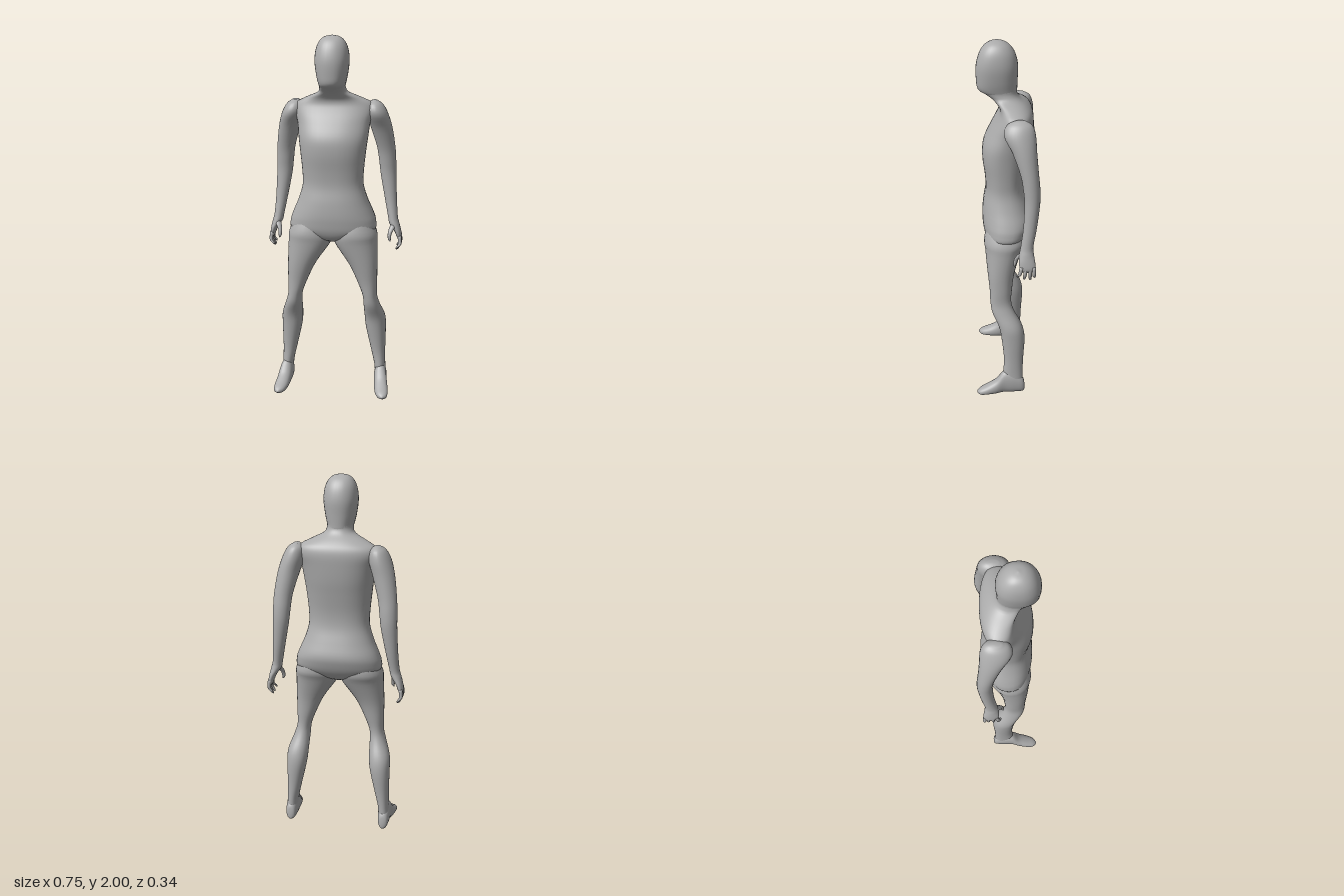
import * as THREE from 'three';

const skin = new THREE.MeshStandardMaterial({ color: 0xacacac });
skin.name = 'plain grey';

// Smooth closed skin through cross-sections [level, minX, maxX, front, back].
// axis 'y': level is y, front/back are z limits. axis 'z': level is z, front/back are y limits.
// Sections run in ascending level; power squares off the ring.
function loft(name, sections, { axis = 'y', side = 1, power = 2, seg = 28, steps = 4 } = {}) {
  const centres = new THREE.CatmullRomCurve3(
    sections.map(([l, a, b, f, k]) => new THREE.Vector3(side * (a + b) / 2, l, (f + k) / 2)), false, 'catmullrom');
  const radii = new THREE.CatmullRomCurve3(
    sections.map(([, a, b, f, k]) => new THREE.Vector3((b - a) / 2, 0, Math.abs(f - k) / 2)), false, 'catmullrom');
  const rows = (sections.length - 1) * steps;
  const pos = [], idx = [];
  const put = (x, l, d) => (axis === 'y' ? pos.push(x, l, d) : pos.push(x, d, l));
  const bend = (v) => Math.sign(v) * Math.pow(Math.abs(v), 2 / power);
  for (let j = 0; j <= rows; j++) {
    const c = centres.getPoint(j / rows), r = radii.getPoint(j / rows);
    for (let i = 0; i < seg; i++) {
      const a = (i / seg) * Math.PI * 2;
      const d = bend(Math.sin(a)) * (axis === 'y' ? 1 : -1);
      put(c.x + r.x * bend(Math.cos(a)), c.y, c.z + r.z * d);
    }
  }
  for (let j = 0; j < rows; j++) {
    for (let i = 0; i < seg; i++) {
      const p = j * seg + i, q = j * seg + (i + 1) % seg;
      idx.push(p, p + seg, q, q, p + seg, q + seg);
    }
  }
  // end caps
  const first = centres.getPoint(0), last = centres.getPoint(1);
  const lo = pos.length / 3;
  put(first.x, first.y, first.z);
  put(last.x, last.y, last.z);
  for (let i = 0; i < seg; i++) {
    const n = (i + 1) % seg, top = rows * seg;
    idx.push(lo, i, n, lo + 1, top + n, top + i);
  }
  const geo = new THREE.BufferGeometry();
  geo.setAttribute('position', new THREE.Float32BufferAttribute(pos, 3));
  geo.setIndex(idx);
  geo.computeVertexNormals();
  const mesh = new THREE.Mesh(geo, skin);
  mesh.name = name;
  return mesh;
}

// Thin round digit through points [x, y, z, radius], ascending in y
function digit(name, points, side) {
  const rings = points.map(([x, y, z, r]) => [y, x - r, x + r, z + r, z - r]);
  return loft(name, rings, { side, seg: 10, steps: 3 });
}

// half-width, front and back for the parts on the centre line
const centred = (list) => list.map(([y, w, f, b]) => [y, -w, w, f, b]);

const torso = centred([
  [0.885, 0.03, 0.05, -0.04], [0.91, 0.12, 0.1, -0.085], [0.95, 0.228, 0.122, -0.12],
  [1.0, 0.236, 0.13, -0.142], [1.05, 0.22, 0.132, -0.15], [1.12, 0.19, 0.126, -0.13],
  [1.2, 0.167, 0.113, -0.106], [1.28, 0.168, 0.116, -0.103], [1.38, 0.178, 0.128, -0.118],
  [1.46, 0.188, 0.122, -0.132], [1.54, 0.198, 0.085, -0.14], [1.6, 0.215, 0.052, -0.142],
  [1.64, 0.205, 0.036, -0.132], [1.67, 0.15, 0.043, -0.108], [1.7, 0.085, 0.074, -0.072],
  [1.725, 0.07, 0.11, -0.056], [1.75, 0.07, 0.146, -0.055],
]);

const head = centred([
  [1.7, 0.045, 0.07, -0.05], [1.725, 0.064, 0.112, -0.055], [1.75, 0.072, 0.147, -0.056],
  [1.8, 0.083, 0.155, -0.058], [1.87, 0.091, 0.155, -0.06], [1.93, 0.084, 0.14, -0.047],
  [1.97, 0.066, 0.116, -0.022], [1.992, 0.04, 0.085, 0.01], [2.0, 0.004, 0.05, 0.042],
]);

const leg = [
  [0.08, 0.24, 0.303, 0.022, -0.09], [0.14, 0.235, 0.298, 0.02, -0.09], [0.23, 0.215, 0.296, 0.016, -0.093],
  [0.36, 0.186, 0.298, 0.03, -0.1], [0.44, 0.178, 0.294, 0.045, -0.085], [0.52, 0.175, 0.266, 0.08, -0.043],
  [0.58, 0.17, 0.25, 0.09, -0.025], [0.66, 0.14, 0.25, 0.094, -0.03], [0.76, 0.092, 0.25, 0.105, -0.045],
  [0.88, 0.01, 0.247, 0.117, -0.085], [0.94, 0.004, 0.243, 0.122, -0.11], [1.02, 0.03, 0.205, 0.1, -0.1],
];

const foot = [
  [-0.102, 0.262, 0.28, 0.055, 0.02], [-0.09, 0.246, 0.298, 0.1, 0.008], [-0.04, 0.237, 0.306, 0.14, 0.003],
  [0.015, 0.237, 0.309, 0.145, 0.003], [0.06, 0.242, 0.318, 0.092, 0.001], [0.11, 0.25, 0.324, 0.06, 0.001],
  [0.15, 0.266, 0.321, 0.04, 0.003], [0.17, 0.29, 0.302, 0.025, 0.013],
];

// shoulder, arm and palm
const arm = [
  [0.865, 0.354, 0.369, -0.08, -0.138], [0.885, 0.346, 0.375, -0.068, -0.149], [0.92, 0.331, 0.37, -0.062, -0.147],
  [0.96, 0.304, 0.36, -0.065, -0.14], [1.0, 0.295, 0.35, -0.072, -0.138], [1.1, 0.275, 0.342, -0.085, -0.155],
  [1.23, 0.25, 0.336, -0.09, -0.17], [1.31, 0.24, 0.334, -0.083, -0.17], [1.39, 0.228, 0.329, -0.068, -0.162],
  [1.5, 0.196, 0.313, -0.028, -0.152], [1.58, 0.17, 0.29, 0.014, -0.146], [1.63, 0.175, 0.262, 0.0, -0.13],
  [1.653, 0.2, 0.23, -0.04, -0.095],
];

export function createModel() {
  const model = new THREE.Group();
  model.name = 'figure';
  model.add(loft('torso', torso, { power: 2.3, seg: 40 }));
  model.add(loft('head', head, { power: 2.25, seg: 32 }));

  for (const side of [1, -1]) {
    const label = side > 0 ? 'left' : 'right';
    model.add(loft(label + 'Leg', leg, { side, power: 2.15 }));
    model.add(loft(label + 'Foot', foot, { side, axis: 'z', power: 2.2 }));
    model.add(loft(label + 'Arm', arm, { side }));

    // hand: four curled fingers and a thumb
    const hand = new THREE.Group();
    hand.name = label + 'Hand';
    [[-0.077, 0.02, 0.825], [-0.099, 0.008, 0.812], [-0.12, -0.002, 0.81], [-0.14, -0.004, 0.822]].forEach(([z, lean, tip], i) => {
      hand.add(digit('finger' + (i + 1), [
        [0.347, tip, z + lean, 0.003], [0.353, tip + 0.01, z + lean, 0.0075],
        [0.366, 0.852, z + lean * 0.5, 0.0095], [0.362, 0.895, z, 0.011],
      ], side));
    });
    hand.add(digit('thumb', [
      [0.313, 0.872, -0.04, 0.003], [0.309, 0.885, -0.042, 0.0085], [0.31, 0.915, -0.05, 0.011],
      [0.322, 0.945, -0.072, 0.016], [0.33, 0.97, -0.09, 0.012],
    ], side));
    model.add(hand);
  }
  return model;
}
